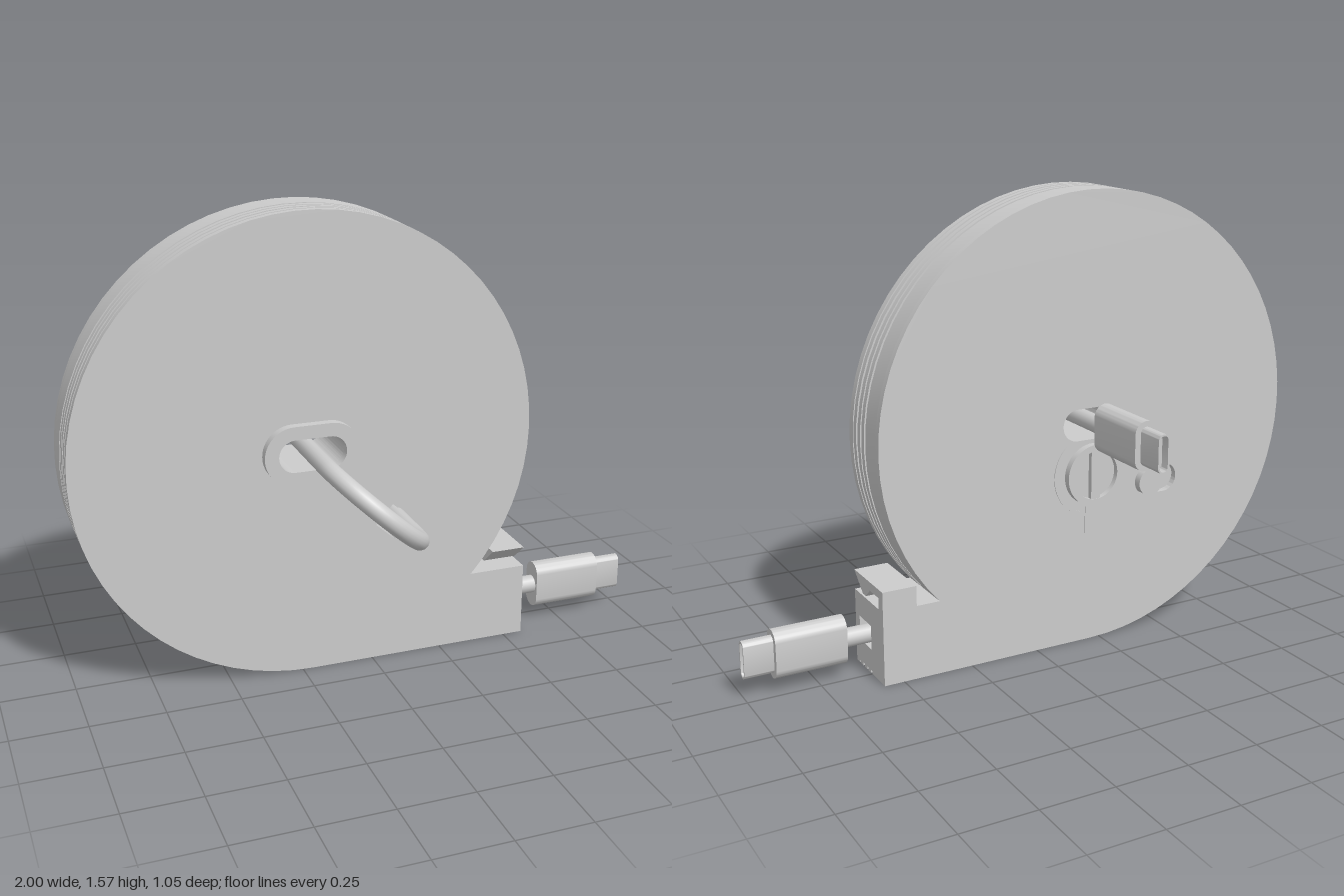
import * as THREE from 'three';
import { toCreasedNormals } from 'three/addons/utils/BufferGeometryUtils.js';

const CX = -0.215, CY = 0.787, R = 0.785, BACK = -0.104;
const material = new THREE.MeshStandardMaterial({ color: 0xcccccc });

function add(parent, name, geometry, x = 0, y = 0, z = 0) {
  const mesh = new THREE.Mesh(geometry, material);
  mesh.name = name;
  mesh.position.set(x, y, z);
  parent.add(mesh);
  return mesh;
}

function extrude(shape, depth, curveSegments = 12) {
  const g = new THREE.ExtrudeGeometry(shape, { depth, curveSegments, bevelEnabled: false });
  return toCreasedNormals(g, 0.5);
}

// Slot outline with round ends; the long side may run either way
function stadium(w, h, x = 0, y = 0, Type = THREE.Shape) {
  const p = new Type(), r = Math.min(w, h) / 2, a = w / 2 - r, b = h / 2 - r;
  if (w > h) {
    p.absarc(x + a, y, r, -Math.PI / 2, Math.PI / 2, false);
    p.absarc(x - a, y, r, Math.PI / 2, Math.PI * 1.5, false);
  } else {
    p.absarc(x, y + b, r, 0, Math.PI, false);
    p.absarc(x, y - b, r, Math.PI, Math.PI * 2, false);
  }
  p.closePath();
  return p;
}

const polygon = (pts, Type = THREE.Shape) => new Type(pts.map(([x, y]) => new THREE.Vector2(x, y)));

// Round case with a straight spout, optionally with the cable outlet notched into its end
function caseOutline(inset, outlet) {
  const s = new THREE.Shape(), r = R - inset, top = 0.26;
  s.moveTo(0.57, CY - r);
  s.lineTo(CX, CY - r);
  s.absarc(CX, CY, r, -Math.PI / 2, Math.asin((top - CY) / r), true);
  s.lineTo(0.57, top);
  if (outlet) [[0.57, 0.175], [0.42, 0.175], [0.42, 0.09], [0.57, 0.09]].forEach(([x, y]) => s.lineTo(x, y));
  s.closePath();
  s.holes.push(stadium(0.23, 0.11, CX, CY, THREE.Path));
  return s;
}

// Plug pointing along +z: grip, hollow tip and contact tongue
function plug(name) {
  const g = new THREE.Group();
  g.name = name;
  add(g, 'plugGrip', extrude(stadium(0.083, 0.168), 0.245));
  const tip = stadium(0.042, 0.13);
  tip.holes.push(stadium(0.03, 0.118, 0, 0, THREE.Path));
  add(g, 'plugTip', extrude(tip, 0.1), 0, 0, 0.245);
  add(g, 'plugTongue', new THREE.BoxGeometry(0.012, 0.09, 0.08), 0, 0, 0.285);
  return g;
}

export function createModel() {
  const model = new THREE.Group();

  // Case, stacked from slices: [z start, z end, inset of the grip groove]
  const body = new THREE.Group();
  body.name = 'case';
  model.add(body);
  const slices = [
    [BACK, -0.08, 0], [-0.08, 0, 0], [0, 0.012, 0.01], [0.012, 0.033, 0], [0.033, 0.042, 0.01],
    [0.042, 0.063, 0], [0.063, 0.075, 0.01], [0.075, 0.096, 0], [0.096, 0.104, 0.01], [0.104, 0.13, 0],
  ];
  const dir = new THREE.Vector2(0.305, -0.27).normalize();
  slices.forEach(([z0, z1, inset], i) => {
    const s = caseOutline(inset, z0 >= 0 && z1 < 0.1);
    if (i === 0) s.holes.push(stadium(0.17, 0.1, -0.475, 0.55, THREE.Path));
    if (z0 >= 0) {
      // Tilted square hole where the cable goes back in
      const corners = [[-1, -1], [1, -1], [1, 1], [-1, 1]].map(([u, v]) => [
        0.077 + 0.045 * (u * dir.x - v * dir.y), 0.5 + 0.045 * (u * dir.y + v * dir.x)]);
      s.holes.push(polygon(corners, THREE.Path));
    }
    add(body, inset ? 'gripGroove' : 'caseSlice', extrude(s, z1 - z0, 30), 0, 0, z0);
  });

  // Raised collar round the front cable hole
  const collar = stadium(0.325, 0.2);
  collar.holes.push(stadium(0.23, 0.11, 0, 0, THREE.Path));
  add(model, 'cableCollar', extrude(collar, 0.03), CX, CY, 0.13);

  // Cable clip on the spout: a barbed arm, drawn in (z, y) and extruded along x
  const clip = polygon([[0.104, 0.258], [0.104, 0.33], [-0.13, 0.33], [-0.06, 0.268],
    [-0.035, 0.268], [0, 0.3], [0.07, 0.3], [0.07, 0.258]]);
  add(model, 'cableClip', extrude(clip, 0.12), 0.45, 0, 0).rotation.y = Math.PI / 2;

  // Cable: straight through the case, out in a loop and back in
  const a = new THREE.Vector3(CX, 0.79, 0), b = new THREE.Vector3(0.085, 0.52, 0);
  const mid = a.clone().add(b).multiplyScalar(0.5), half = a.clone().sub(mid);
  const path = [new THREE.Vector3(CX, 0.79, -0.19), new THREE.Vector3(CX, 0.79, 0.05)];
  for (let i = 0; i <= 12; i++) {
    const t = Math.PI * i / 12;
    const p = mid.clone().addScaledVector(half, Math.cos(t));
    p.z = 0.285 + 0.21 * Math.sin(t);
    path.push(p);
  }
  path.push(new THREE.Vector3(b.x, b.y, 0.15), new THREE.Vector3(b.x, b.y, 0));
  add(model, 'loopCable', new THREE.TubeGeometry(new THREE.CatmullRomCurve3(path), 90, 0.03, 16));
  add(model, 'spoutCable', new THREE.CylinderGeometry(0.032, 0.032, 0.25, 16), 0.54, 0.135, 0.037)
    .rotation.z = Math.PI / 2;

  // Plugs at both cable ends
  const side = plug('sidePlug');
  side.position.set(0.655, 0.135, 0.037);
  side.rotation.y = Math.PI / 2;
  const rear = plug('rearPlug');
  rear.position.set(CX, 0.79, -0.18);
  rear.rotation.y = Math.PI;
  model.add(side, rear);

  // Tension dial: rim, sunken floor and finger bar
  const rim = new THREE.Shape().absarc(0, 0, 0.108, 0, Math.PI * 2, false);
  rim.holes.push(new THREE.Path().absarc(0, 0, 0.085, 0, Math.PI * 2, true));
  add(model, 'dialRim', extrude(rim, 0.025, 24), CX, 0.61, -0.129);
  add(model, 'dialFloor', new THREE.CylinderGeometry(0.09, 0.09, 0.01, 36), CX, 0.61, BACK)
    .rotation.x = Math.PI / 2;
  add(model, 'dialBar', new THREE.BoxGeometry(0.035, 0.175, 0.021), CX, 0.61, -0.1165);

  // Release button in its slot
  add(model, 'releaseButton', new THREE.CylinderGeometry(0.048, 0.048, 0.06, 28), -0.44, 0.55, -0.1)
    .rotation.x = Math.PI / 2;

  // Direction arrows beside the button and round the dial
  const straight = polygon([[-0.35, 0.637], [-0.51, 0.637], [-0.51, 0.615], [-0.56, 0.645],
    [-0.51, 0.675], [-0.51, 0.653], [-0.35, 0.653]]);
  add(model, 'releaseArrow', extrude(straight, 0.004), 0, 0, BACK - 0.003);
  const arc = new THREE.Shape();
  arc.absarc(0, 0, 0.15, -1.2, 0.9, false);
  arc.absarc(0, 0, 0.137, 0.9, -1.2, true);
  add(model, 'dialArrowArc', extrude(arc, 0.004), CX, 0.61, BACK - 0.003);
  const head = polygon([[0.035, -0.1], [0.035, 0.02], [-0.03, -0.04]]);
  const arrow = add(model, 'dialArrowHead', extrude(head, 0.004), CX, 0.48, BACK - 0.003);
  arrow.scale.set(0.8, 0.8, 1);
  return model;
}
